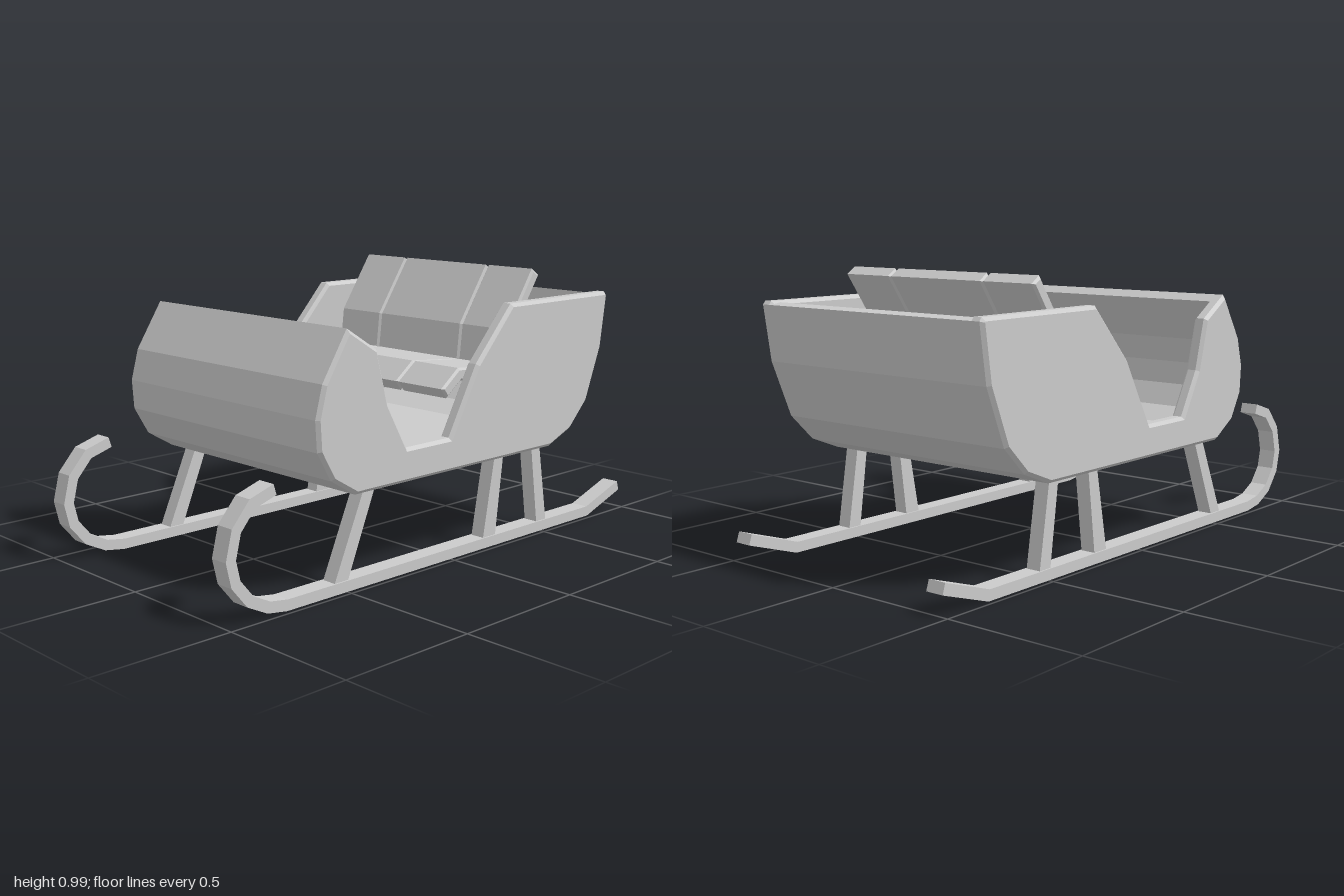
import * as THREE from 'three';

const material = new THREE.MeshStandardMaterial({ color: 0xcccccc, flatShading: true });

// Close a [z, y] path into a strip of constant thickness, mitred on its right-hand side.
function strip(path, thickness) {
  const normal = (a, b) => new THREE.Vector2(b[1] - a[1], a[0] - b[0]).normalize();
  const inner = path.map((p, i) => {
    const n1 = normal(path[Math.max(i - 1, 0)], path[Math.max(i, 1)]);
    const last = path.length - 1;
    const n2 = normal(path[Math.min(i, last - 1)], path[Math.min(i + 1, last)]);
    const m = n1.clone().add(n2).normalize();
    const d = thickness / m.dot(n1);
    return [p[0] + m.x * d, p[1] + m.y * d];
  });
  return [...path, ...inner.reverse()];
}

// Extrude a [z, y] outline across x, centred on x, with an optional chamfer.
function slab(name, outline, x, width, bevel = 0) {
  const shape = new THREE.Shape(outline.map(([z, y]) => new THREE.Vector2(z, y)));
  const geometry = new THREE.ExtrudeGeometry(shape, {
    depth: width - 2 * bevel,
    bevelEnabled: bevel > 0,
    bevelThickness: bevel,
    bevelSize: bevel,
    bevelOffset: -bevel,
    bevelSegments: 1,
  });
  geometry.translate(0, 0, -width / 2 + bevel);
  geometry.rotateY(-Math.PI / 2);
  const mesh = new THREE.Mesh(geometry, material);
  mesh.name = name;
  mesh.position.x = x;
  return mesh;
}

export function createModel() {
  const sleigh = new THREE.Group();
  sleigh.name = 'sleigh';

  // Curved hull from the dash top, under the floor, up to the back rim
  const hull = [
    [0.515, 0.87], [0.62, 0.705], [0.65, 0.595], [0.643, 0.49], [0.585, 0.39], [0.48, 0.327],
    [-0.52, 0.327], [-0.64, 0.375], [-0.735, 0.47], [-0.815, 0.67], [-0.845, 0.868],
  ];
  sleigh.add(slab('hull', strip(hull, 0.045), 0, 0.98));

  // Side panels follow the hull and dip at the doorway
  const side = [
    ...hull, [-0.835, 0.88], [-0.28, 0.88], [-0.1, 0.685], [0.035, 0.445],
    [0.245, 0.445], [0.335, 0.605], [0.385, 0.79],
  ];

  // Runner with a hooked front and a kicked-up tail
  const runner = strip([
    [0.81, 0.42], [0.905, 0.39], [0.975, 0.31], [1, 0.21], [0.98, 0.125], [0.92, 0.052],
    [0.84, 0.012], [0.76, 0], [-0.795, 0], [-1, 0.068],
  ], 0.038);

  // Struts: bottom front, bottom rear, top rear, top front
  const struts = {
    frontStrut: [0.555, 0.495, 0.368, 0.42],
    middleStrut: [-0.178, -0.245, -0.283, -0.235],
    rearStrut: [-0.485, -0.54, -0.49, -0.443],
  };

  for (const [label, s] of [['left', 1], ['right', -1]]) {
    sleigh.add(slab(`${label}SidePanel`, side, s * 0.478, 0.055, 0.012));
    const undercarriage = new THREE.Group();
    undercarriage.name = `${label}Undercarriage`;
    undercarriage.add(slab('runner', runner, 0, 0.067));
    for (const [name, [a, b, c, d]] of Object.entries(struts)) {
      undercarriage.add(slab(name, [[a, 0.03], [b, 0.03], [c, 0.335], [d, 0.335]], 0, 0.055));
    }
    undercarriage.position.x = s * 0.447;
    sleigh.add(undercarriage);
  }

  // Bench: a folded sheet in three upholstered panels
  const bench = new THREE.Group();
  bench.name = 'bench';
  const cushion = strip([
    [-0.482, 0.985], [-0.34, 0.775], [-0.325, 0.645], [-0.085, 0.665], [0, 0.6],
  ], 0.045);
  for (const [x, width] of [[-0.322, 0.22], [0, 0.424], [0.322, 0.22]]) {
    bench.add(slab('benchPanel', cushion, x, width, 0.008));
  }
  sleigh.add(bench);

  return sleigh;
}
